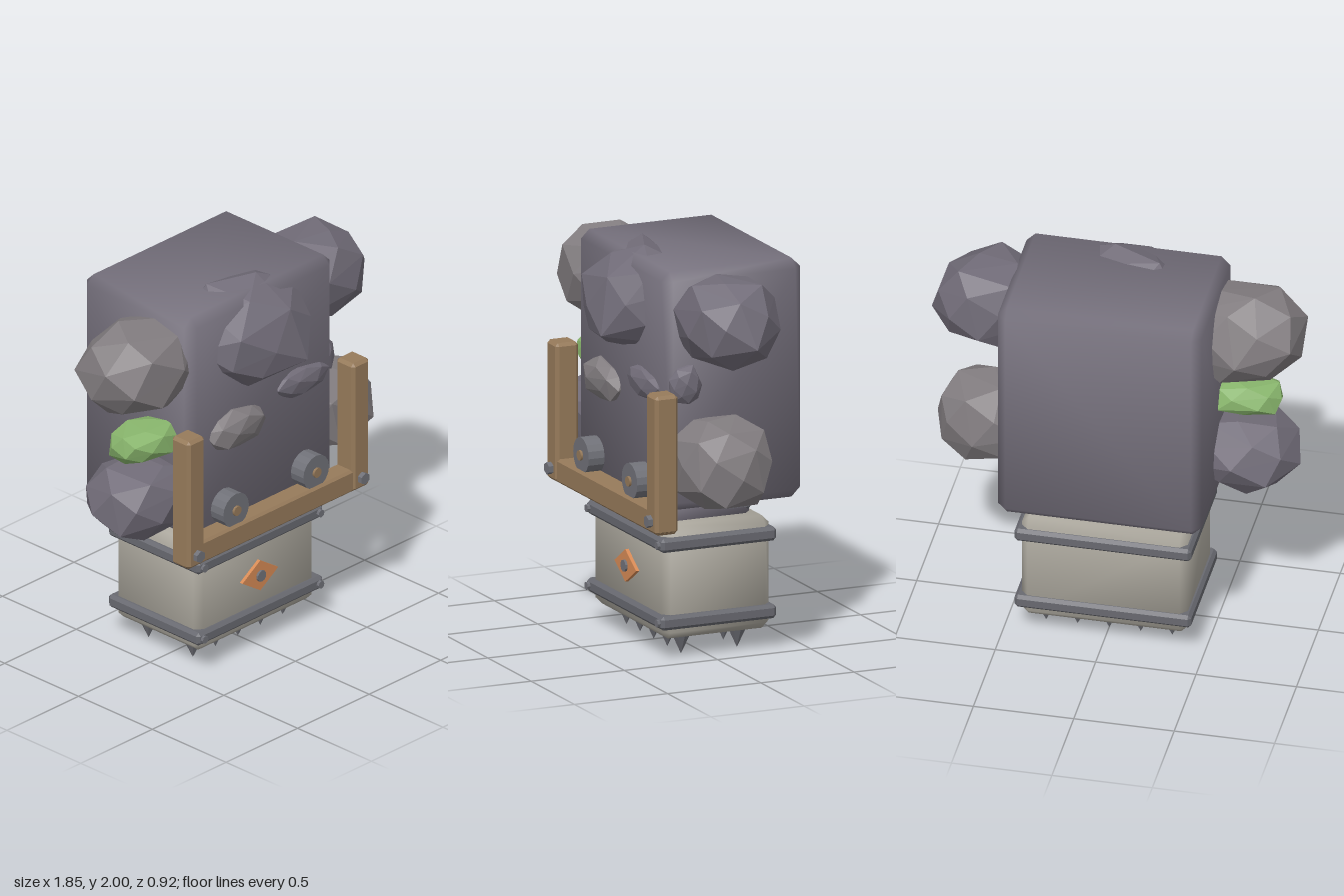
import * as THREE from 'three';
import { ConvexGeometry } from 'three/addons/geometries/ConvexGeometry.js';
import { toCreasedNormals } from 'three/addons/utils/BufferGeometryUtils.js';

const mat = (color, flatShading = false) => new THREE.MeshStandardMaterial({ color, flatShading });
const stone = mat(0x75707c), rockDark = mat(0x716c78, true), rockLight = mat(0x827d80, true);
const plaster = mat(0xaaa69c), iron = mat(0x686970), ironFlat = mat(0x707178, true);
const wood = mat(0x967a5a), copper = mat(0xd68a55, true), moss = mat(0x88b56c, true);

// Box given by its limits, with every edge chamfered
function chamferBox([x0, x1], [y0, y1], [z0, z1], c, crease) {
  const h = [(x1 - x0) / 2, (y1 - y0) / 2, (z1 - z0) / 2];
  const pts = [];
  for (const sx of [-1, 1]) for (const sy of [-1, 1]) for (const sz of [-1, 1])
    for (let full = 0; full < 3; full++) {
      const d = h.map((v, i) => (i === full ? v : v - c));
      pts.push(new THREE.Vector3(sx * d[0], sy * d[1], sz * d[2]));
    }
  const geo = toCreasedNormals(new ConvexGeometry(pts), crease);
  return geo.translate((x0 + x1) / 2, (y0 + y1) / 2, (z0 + z1) / 2);
}

// Faceted boulder: hull of an uneven spiral of points, fitted to its limits
function boulder([x0, x1], [y0, y1], [z0, z1], seed, lean = 0) {
  const count = 28, pts = [];
  const fuller = (v) => Math.sign(v) * Math.abs(v) ** 0.88;
  for (let i = 0; i < count; i++) {
    const h = 1 - (2 * i + 1) / count, ring = Math.sqrt(1 - h * h);
    const a = i * 2.4 + seed, r = 0.93 + 0.07 * Math.sin(seed * 7 + i * i);
    const y = r * fuller(h);
    pts.push(new THREE.Vector3(r * fuller(ring * Math.cos(a)), y,
      r * fuller(ring * Math.sin(a)) - lean * y));
  }
  const box = new THREE.Box3().setFromPoints(pts);
  const size = box.getSize(new THREE.Vector3());
  const low = new THREE.Vector3(x0, y0, z0), span = new THREE.Vector3(x1 - x0, y1 - y0, z1 - z0);
  for (const p of pts) p.sub(box.min).divide(size).multiply(span).add(low);
  return new ConvexGeometry(pts);
}

export function createModel() {
  const model = new THREE.Group();
  const add = (name, geo, material) => {
    const mesh = new THREE.Mesh(geo, material);
    mesh.name = name;
    model.add(mesh);
  };
  // Short cylinder facing forwards
  const disc = (name, x, y, z0, z1, r, sides, material) =>
    add(name, new THREE.CylinderGeometry(r, r, z1 - z0, sides)
      .rotateX(Math.PI / 2).translate(x, y, (z0 + z1) / 2), material);

  // Stone block and neck
  add('stoneBlock', chamferBox([-0.51, 0.505], [0.765, 1.965], [-0.46, 0.285], 0.045, 1.1), stone);
  add('neck', chamferBox([-0.31, 0.31], [0.64, 0.8], [-0.27, 0.19], 0.03, 1.1), stone);
  add('neckRim', chamferBox([-0.31, 0.31], [0.685, 0.74], [-0.272, 0.192], 0.012, 0.5), iron);

  // Base drum with two iron bands
  add('base', chamferBox([-0.415, 0.412], [0.1, 0.665], [-0.33, 0.245], 0.035, 1.1), plaster);
  for (const y of [0.19, 0.58]) {
    add('band', chamferBox([-0.44, 0.44], [y - 0.035, y + 0.035], [-0.35, 0.27], 0.016, 0.5), iron);
    for (const x of [-0.405, 0.405]) disc('bandBolt', x, y, 0.25, 0.285, 0.02, 8, ironFlat);
  }

  // Spikes under the base
  for (let i = -2; i <= 2; i++)
    for (const z of [0.11, -0.19])
      add('spike', new THREE.ConeGeometry(0.052, 0.11, 8).rotateX(Math.PI)
        .translate(i * 0.157, 0.055, z), ironFlat);

  // Diamond badge: a four-sided disc, widened
  add('diamondPlate', new THREE.CylinderGeometry(1, 1, 0.03, 4).rotateX(Math.PI / 2)
    .scale(0.125, 0.082, 1).translate(0, 0.385, 0.248), copper);
  disc('diamondBolt', 0, 0.385, 0.25, 0.275, 0.03, 10, ironFlat);

  // Wooden frame with bolts and wheels
  add('crossbar', chamferBox([-0.63, 0.63], [0.69, 0.81], [0.275, 0.385], 0.012, 0.5), wood);
  for (const s of [-1, 1]) {
    const x = s * 0.575;
    add('post', chamferBox([x - 0.06, x + 0.06], [0.692, 1.39], [0.27, 0.393], 0.016, 0.5), wood);
    disc('frameBolt', x, 0.755, 0.38, 0.418, 0.031, 6, ironFlat);
    disc('wheel', s * 0.28, 0.885, 0.27, 0.37, 0.09, 16, ironFlat);
    disc('wheelHub', s * 0.28, 0.885, 0.36, 0.382, 0.026, 10, wood);
  }

  // Boulders on the front
  add('browRock', boulder([-0.38, 0.32], [1.485, 2], [-0.05, 0.455], 1, 0.35), rockDark);
  add('frontRock', boulder([-0.39, 0], [1.165, 1.39], [0.18, 0.36], 2), rockLight);
  add('frontChip', boulder([0.09, 0.45], [1.28, 1.45], [0.22, 0.33], 3), rockDark);

  // Boulders on the right side
  add('rightShoulderRock', boulder([-0.925, -0.34], [1.445, 1.93], [-0.23, 0.285], 4), rockLight);
  add('rightLowerRock', boulder([-0.91, -0.38], [0.8, 1.18], [-0.19, 0.29], 5), rockDark);
  add('mossRock', boulder([-0.81, -0.42], [1.2, 1.38], [-0.05, 0.21], 6), moss);

  // Boulders on the left side
  add('leftShoulderRock', boulder([0.36, 0.92], [1.52, 1.94], [-0.23, 0.245], 7), rockDark);
  add('leftLowerRock', boulder([0.36, 0.905], [0.81, 1.24], [-0.19, 0.27], 8), rockLight);
  add('sideChip', boulder([0.44, 0.56], [1.3, 1.5], [0.09, 0.26], 9), rockDark);

  return model;
}
